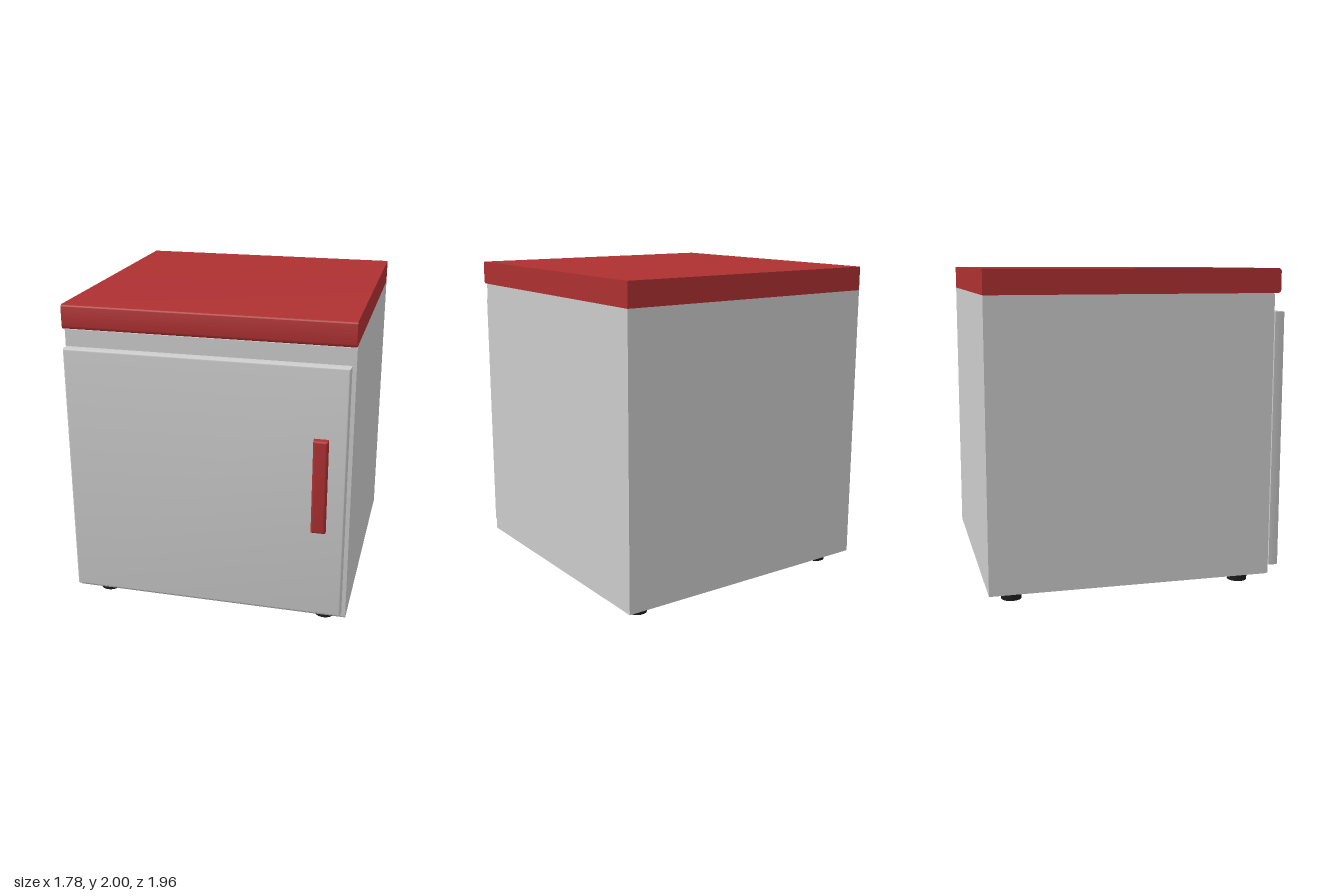
import * as THREE from 'three';
import { toCreasedNormals } from 'three/addons/utils/BufferGeometryUtils.js';

const grey = new THREE.MeshStandardMaterial({ color: 0xcccccc });
const red = new THREE.MeshStandardMaterial({ color: 0xae3031 });
const black = new THREE.MeshStandardMaterial({ color: 0x1c1c1c });

// Block across the full width, with its two front edges (along x) rounded
function widePanel(width, y0, y1, z0, z1, r) {
  const s = new THREE.Shape();
  s.moveTo(z0, y0);
  s.lineTo(z1 - r, y0);
  s.absarc(z1 - r, y0 + r, r, -Math.PI / 2, 0, false);
  s.lineTo(z1, y1 - r);
  s.absarc(z1 - r, y1 - r, r, 0, Math.PI / 2, false);
  s.lineTo(z0, y1);
  s.closePath();
  const g = new THREE.ExtrudeGeometry(s, { depth: width, bevelEnabled: false, curveSegments: 6 });
  g.translate(0, 0, -width / 2);
  g.rotateY(-Math.PI / 2);
  return toCreasedNormals(g, 0.6);
}

// Flat plate with all four front edges rounded and a square back
function facePlate(x0, x1, y0, y1, z0, z1, r) {
  const s = new THREE.Shape();
  s.moveTo(x0 + r, y0 + r);
  s.lineTo(x1 - r, y0 + r);
  s.lineTo(x1 - r, y1 - r);
  s.lineTo(x0 + r, y1 - r);
  s.closePath();
  const g = new THREE.ExtrudeGeometry(s, {
    depth: z1 - z0 - r, bevelSize: r, bevelThickness: r, bevelSegments: 4,
  });
  // Flatten the rear bevel into the back face
  const p = g.attributes.position;
  for (let i = 0; i < p.count; i++) p.setZ(i, Math.max(0, p.getZ(i)));
  g.translate(0, 0, z0);
  return toCreasedNormals(g, 0.6);
}

export function createModel() {
  const model = new THREE.Group();
  model.name = 'cabinet';
  const add = (name, geometry, material, parent = model) => {
    const mesh = new THREE.Mesh(geometry, material);
    mesh.name = name;
    parent.add(mesh);
    return mesh;
  };

  // Carcass, worktop and door
  add('body', widePanel(1.776, 0.07, 1.85, -0.98, 0.8, 0.012), grey);
  add('worktop', widePanel(1.776, 1.85, 2, -0.98, 0.84, 0.02), red);
  add('door', facePlate(-0.88, 0.864, 0.122, 1.737, 0.81, 0.873, 0.012), grey);

  // Handle: a bar on two posts
  const handle = new THREE.Group();
  handle.name = 'handle';
  model.add(handle);
  add('handleBar', facePlate(0.676, 0.764, 0.735, 1.325, 0.938, 0.98, 0.016), red, handle);
  for (const y of [0.885, 1.187]) {
    const post = add('handlePost', new THREE.CylinderGeometry(0.033, 0.033, 0.07, 24), black, handle);
    post.rotation.x = Math.PI / 2;
    post.position.set(0.72, y, 0.905);
  }

  // Four round feet
  for (const x of [-0.738, 0.738]) {
    for (const z of [0.65, -0.826]) {
      const foot = add('foot', new THREE.CylinderGeometry(0.063, 0.063, 0.07, 32), black);
      foot.position.set(x, 0.035, z);
    }
  }
  return model;
}
